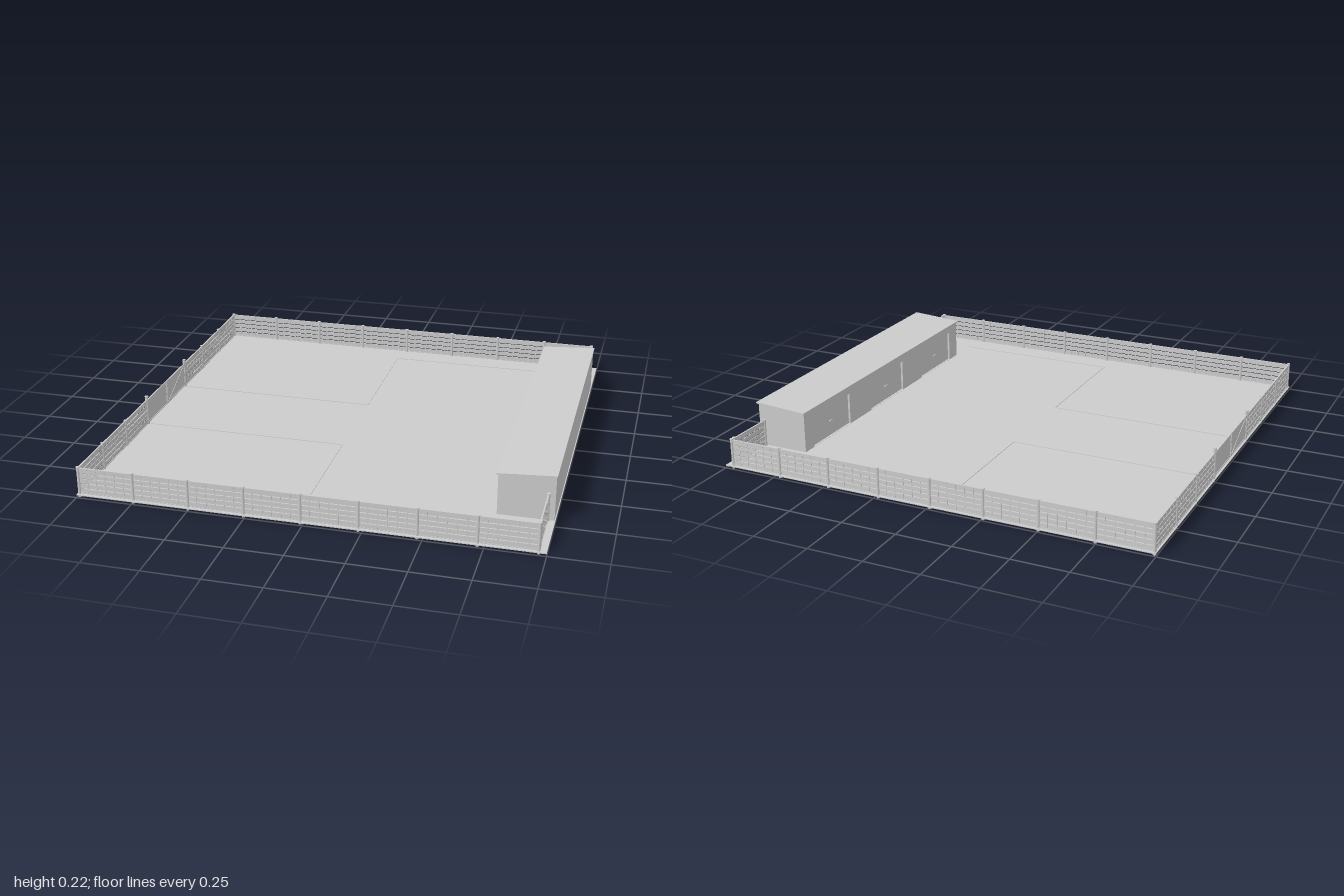
import * as THREE from 'three';

const material = new THREE.MeshStandardMaterial({ color: 0xcccccc, side: THREE.DoubleSide });
const GROUND = 0.014;

function add(parent, name, geometry, x = 0, y = 0, z = 0) {
  const mesh = new THREE.Mesh(geometry, material);
  mesh.name = name;
  mesh.position.set(x, y, z);
  parent.add(mesh);
  return mesh;
}

const box = (w, h, d) => new THREE.BoxGeometry(w, h, d);

// Closed outline extruded by depth
function extrude(points, depth, holes = []) {
  const shape = new THREE.Shape(points.map(p => new THREE.Vector2(...p)));
  shape.holes = holes.map(h => new THREE.Path(h.map(p => new THREE.Vector2(...p))));
  return new THREE.ExtrudeGeometry(shape, { depth, bevelEnabled: false });
}

const rect = (x0, y0, x1, y1) => [[x0, y0], [x1, y0], [x1, y1], [x0, y1]];

function addPost(parent, x, z, height = 0.14) {
  add(parent, 'fencePost', new THREE.CylinderGeometry(0.007, 0.007, height, 10), x, height / 2, z);
  add(parent, 'postCap', new THREE.CylinderGeometry(0.0085, 0.0085, 0.004, 10), x, height - 0.002, z);
}

// Group whose local x axis runs from a to b, centred between them
function span(parent, name, [ax, az], [bx, bz]) {
  const group = new THREE.Group();
  group.name = name;
  group.position.set((ax + bx) / 2, 0, (az + bz) / 2);
  group.rotation.y = -Math.atan2(bz - az, bx - ax);
  parent.add(group);
  return [group, Math.hypot(bx - ax, bz - az)];
}

// One bay of horizontal boards with rails and uprights
function addBay(parent, a, b) {
  const [bay, length] = span(parent, 'fenceBay', a, b);
  for (let i = 0; i < 5; i++) {
    add(bay, 'fenceBoard', box(length, 0.0195, 0.003), 0, 0.029 + i * 0.0232, 0);
  }
  for (const y of [0.018, 0.134]) add(bay, 'fenceRail', box(length, 0.004, 0.007), 0, y, 0);
  for (let i = 1; i < 6; i++) {
    add(bay, 'fenceUpright', box(0.003, 0.116, 0.005), (i / 6 - 0.5) * length, 0.076, 0);
  }
}

// Straight run of equal bays with posts between them
function addFence(parent, name, a, b, count) {
  const fence = new THREE.Group();
  fence.name = name;
  parent.add(fence);
  const at = i => [a[0] + (b[0] - a[0]) * i / count, a[1] + (b[1] - a[1]) * i / count];
  for (let i = 0; i <= count; i++) {
    addPost(fence, ...at(i));
    if (i < count) addBay(fence, at(i), at(i + 1));
  }
}

// Gate leaf: frame, thin sheet and a diagonal brace
function addGateLeaf(parent, a, b, slope) {
  const [leaf, length] = span(parent, 'gateLeaf', a, b);
  const w = length - 0.012;
  add(leaf, 'gateSheet', box(w, 0.11, 0.002), 0, 0.077, 0);
  for (const y of [0.022, 0.132]) add(leaf, 'gateRail', box(w, 0.006, 0.006), 0, y, 0);
  for (const s of [-1, 1]) add(leaf, 'gateStile', box(0.006, 0.116, 0.006), s * w / 2, 0.077, 0);
  const brace = add(leaf, 'gateBrace', box(Math.hypot(w, 0.11), 0.005, 0.006), 0, 0.077, 0);
  brace.rotation.z = slope * Math.atan2(0.11, w);
}

function addBuilding(parent) {
  const building = new THREE.Group();
  building.name = 'building';
  parent.add(building);
  const z0 = -0.735, z1 = 0.725;

  // Sloping roof slab with a small overhang
  add(building, 'roof', extrude([[0.75, 0.198], [1, 0.214], [1, 0.221], [0.75, 0.205]], 1.48), 0, 0, -0.747);

  // End walls and back wall
  const end = [[0.757, GROUND], [0.996, GROUND], [0.996, 0.214], [0.757, 0.199]];
  for (const z of [z0, z1 - 0.008]) add(building, 'endWall', extrude(end, 0.008), 0, 0, z);
  add(building, 'backWall', box(0.008, 0.2, z1 - z0), 0.992, 0.114, (z0 + z1) / 2);

  // Yard-side wall with three doorways
  const doors = [-0.51, -0.01, 0.49];
  const holes = doors.map(z => rect(z - 0.155, GROUND + 0.001, z + 0.155, 0.163));
  const facade = extrude(rect(z0, GROUND, z1, 0.2), 0.01, holes);
  facade.rotateY(-Math.PI / 2);
  add(building, 'frontWall', facade, 0.767);
  for (const z of doors) {
    add(building, 'door', box(0.004, 0.15, 0.31), 0.769, 0.089, z);
    add(building, 'doorHandle', box(0.006, 0.004, 0.025), 0.765, 0.085, z);
  }
}

export function createModel() {
  const model = new THREE.Group();
  model.name = 'fencedYard';

  add(model, 'ground', box(2, 0.004, 2), 0, GROUND - 0.002, 0);

  // Raised edging of the paved areas, mirrored front to back
  const edging = new THREE.Group();
  edging.name = 'edging';
  model.add(edging);
  for (const s of [-1, 1]) {
    add(edging, 'gateLaneKerb', box(0.95, 0.003, 0.006), -0.513, GROUND + 0.001, s * 0.236);
    add(edging, 'crossKerb', box(0.006, 0.003, 0.64), -0.038, GROUND + 0.001, s * 0.555);
    add(edging, 'sideKerb', box(0.79, 0.003, 0.006), 0.357, GROUND + 0.001, s * 0.875);
  }

  // Perimeter fence
  const W = -0.99, E = 0.967, N = -0.987, S = 0.985;
  addFence(model, 'frontFence', [W, S], [E, S], 8);
  addFence(model, 'backFence', [W, N], [E, N], 8);
  addFence(model, 'rightFenceFront', [W, S], [W, 0.24], 3);
  addFence(model, 'rightFenceBack', [W, N], [W, -0.24], 3);
  addFence(model, 'leftFenceFront', [E, S - 0.016], [E, 0.733], 1);
  addFence(model, 'leftFenceBack', [E, N + 0.016], [E, -0.743], 1);

  // Double gate between taller posts
  const gate = new THREE.Group();
  gate.name = 'gate';
  model.add(gate);
  for (const s of [-1, 1]) {
    addPost(gate, W, s * 0.24, 0.156);
    addGateLeaf(gate, [W, 0], [W, s * 0.24], 1);
  }

  addBuilding(model);
  return model;
}
